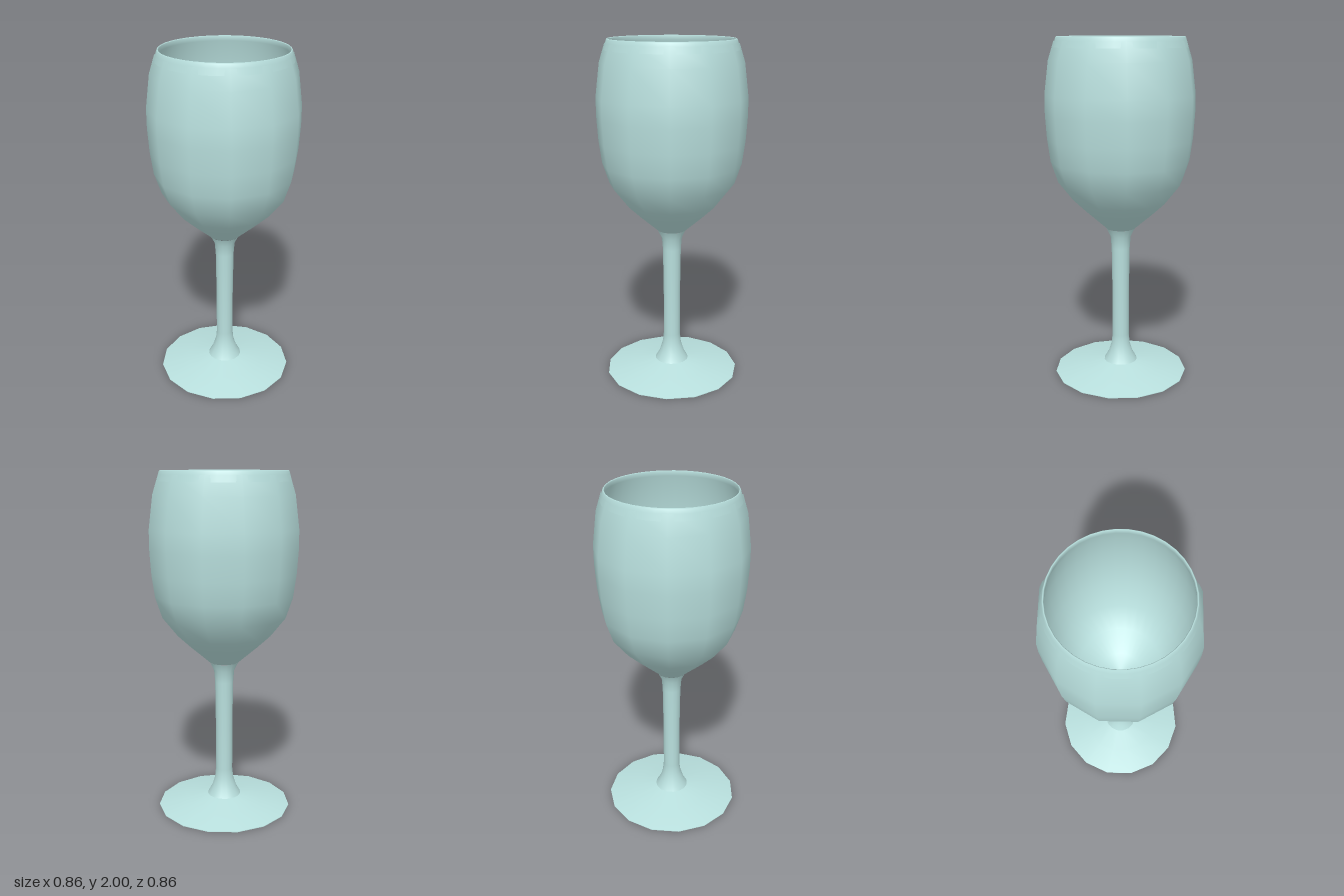
import * as THREE from 'three';

const material = new THREE.MeshStandardMaterial({ color: 0xb8dfdd });

// Revolve [radius, height] pairs around the vertical axis
function turned(name, profile, sides, start = 0) {
  const points = profile.map(([r, y]) => new THREE.Vector2(r, y));
  const mesh = new THREE.Mesh(new THREE.LatheGeometry(points, sides, start), material);
  mesh.name = name;
  return mesh;
}

export function createModel() {
  const glass = new THREE.Group();
  glass.name = 'wineGlass';
  const footSides = 15, footStart = -Math.PI / 4;

  // Foot: flat underside and a shallow cone with a sharp edge
  glass.add(turned('footUnderside', [[0, 0], [0.397, 0]], footSides, footStart));
  glass.add(turned('foot', [[0.397, 0], [0.397, 0.005], [0.24, 0.037], [0.1, 0.065]], footSides, footStart));

  // Stem flaring into the foot and the bowl
  glass.add(turned('stem', [
    [0.1, 0.065], [0.075, 0.11], [0.056, 0.17], [0.05, 0.23], [0.05, 0.5],
    [0.054, 0.78], [0.06, 0.85], [0.085, 0.9],
  ], footSides, footStart));

  // Outer bowl with twelve sides
  glass.add(turned('bowl', [
    [0.085, 0.9], [0.2, 1.0], [0.275, 1.07], [0.362, 1.18], [0.402, 1.3],
    [0.42, 1.43], [0.429, 1.57], [0.429, 1.68], [0.405, 1.87], [0.372, 1.975],
  ], 12));

  // Round rim running over into the inside of the bowl
  glass.add(turned('rimAndInside', [
    [0.377, 1.94], [0.367, 1.975], [0.361, 1.995], [0.356, 2.0], [0.351, 1.995],
    [0.353, 1.97], [0.383, 1.87], [0.405, 1.7], [0.405, 1.55], [0.389, 1.4],
    [0.335, 1.2], [0.24, 1.08], [0.12, 1.0], [0, 0.97],
  ], 36));

  return glass;
}
